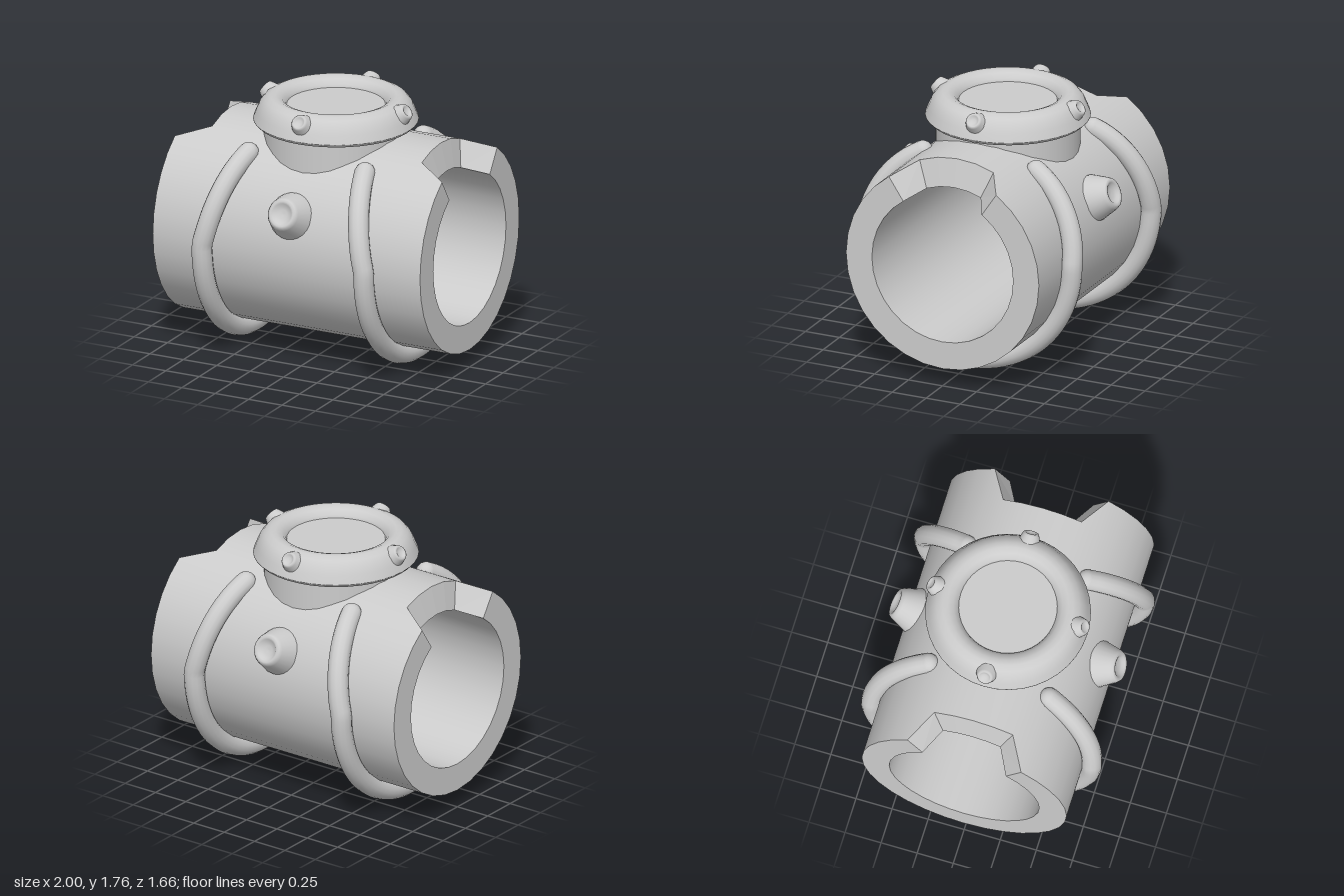
import * as THREE from 'three';

const material = new THREE.MeshStandardMaterial({ color: 0xcccccc });
const AXIS_Y = 0.835, OUTER = 0.71, INNER = 0.52, SIDES = 32;
const v2 = (pairs) => pairs.map(([r, y]) => new THREE.Vector2(r, y));

function add(parent, name, geometry) {
  const mesh = new THREE.Mesh(geometry, material);
  mesh.name = name;
  parent.add(mesh);
  return mesh;
}

// Closed strip around the x axis between two edge loops
function strip(p, q, flat) {
  const pos = [], index = [];
  for (let i = 0; i < SIDES; i++) {
    pos.push(...p(i), ...q(i));
    const a = 2 * i, b = 2 * ((i + 1) % SIDES);
    index.push(a, b, b + 1, a, b + 1, a + 1);
  }
  let g = new THREE.BufferGeometry();
  g.setAttribute('position', new THREE.Float32BufferAttribute(pos, 3));
  g.setIndex(index);
  if (flat) g = g.toNonIndexed();
  g.computeVertexNormals();
  return g;
}

// Edge loop of the pipe; the top five columns are pulled back into a notch
function edge(side, radius, notchX) {
  return (i) => {
    const t = (i / SIDES) * Math.PI * 2;
    const inNotch = Math.min(i, SIDES - i) <= 2;
    return [side * (inNotch ? notchX : 1), AXIS_Y + radius * Math.cos(t), radius * Math.sin(t)];
  };
}

// Truncated stud with rounded rim and dimple, growing along +y
const studGeometry = new THREE.LatheGeometry(v2([
  [0.155, -0.03], [0.16, 0], [0.155, 0.025], [0.112, 0.14], [0.1, 0.16], [0.085, 0.166],
  [0.07, 0.16], [0.055, 0.145], [0.03, 0.138], [0, 0.136],
]), 24);

// Stud tilted up by elevation and turned to face a heading around y
function addStud(parent, name, heading, elevation, radius, y, scale) {
  const dir = new THREE.Vector3(
    Math.sin(heading) * Math.cos(elevation), Math.sin(elevation), Math.cos(heading) * Math.cos(elevation));
  const stud = add(parent, name, studGeometry);
  stud.position.set(Math.sin(heading) * radius, y, Math.cos(heading) * radius);
  stud.quaternion.setFromUnitVectors(new THREE.Vector3(0, 1, 0), dir);
  stud.scale.setScalar(scale);
}

// Strap wrapping under the pipe, leaning inwards towards its upper ends
function strapCurve(side) {
  const points = [], n = 48, end = THREE.MathUtils.degToRad(54);
  for (let i = 0; i <= n; i++) {
    const a = end - (i / n) * (Math.PI + 2 * end);
    const rise = Math.max(0, Math.asin(Math.sin(a))) / end;
    const r = 0.762 - 0.052 * rise ** 2.5;
    points.push(new THREE.Vector3(side * (0.605 - 0.17 * rise), AXIS_Y + r * Math.sin(a), r * Math.cos(a)));
  }
  return new THREE.CatmullRomCurve3(points);
}

export function createModel() {
  const model = new THREE.Group();
  model.name = 'pipeJunction';

  // Notched main pipe
  const pipe = new THREE.Group();
  pipe.name = 'mainPipe';
  model.add(pipe);
  const leftOut = edge(1, OUTER, 0.785), leftIn = edge(1, INNER, 0.83);
  const rightOut = edge(-1, OUTER, 0.785), rightIn = edge(-1, INNER, 0.83);
  add(pipe, 'outerWall', strip(rightOut, leftOut));
  add(pipe, 'leftEnd', strip(leftOut, leftIn, true));
  add(pipe, 'innerWall', strip(leftIn, rightIn));
  add(pipe, 'rightEnd', strip(rightIn, rightOut, true));

  // Vertical neck with its closed top inside the collar
  const neck = add(model, 'neck', new THREE.CylinderGeometry(0.48, 0.48, 0.235, 32, 1, true));
  neck.position.y = 1.4725;
  const floor = add(model, 'neckCap', new THREE.CircleGeometry(0.36, 32));
  floor.rotation.x = -Math.PI / 2;
  floor.position.y = 1.69;

  // Rounded collar
  add(model, 'collar', new THREE.LatheGeometry(v2([
    [0.45, 1.57], [0.528, 1.57], [0.532, 1.571], [0.55, 1.59], [0.55, 1.595], [0.528, 1.65],
    [0.508, 1.695], [0.475, 1.735], [0.435, 1.753], [0.4, 1.755], [0.362, 1.74], [0.335, 1.71],
    [0.321, 1.675], [0.325, 1.63],
  ]), 40));

  // Small studs round the collar
  for (let i = 0; i < 4; i++) {
    addStud(model, 'collarStud', i * Math.PI / 2, THREE.MathUtils.degToRad(36), 0.468, 1.678, 0.5);
  }

  // Large studs on the front and back of the pipe
  const tilt = Math.PI / 8;
  for (const heading of [0, Math.PI]) {
    addStud(model, 'sideStud', heading, tilt, 0.68 * Math.cos(tilt), AXIS_Y + 0.68 * Math.sin(tilt), 1);
  }

  // Straps with rounded ends
  for (const side of [1, -1]) {
    const strap = new THREE.Group();
    strap.name = side > 0 ? 'leftStrap' : 'rightStrap';
    model.add(strap);
    const curve = strapCurve(side);
    add(strap, 'strapTube', new THREE.TubeGeometry(curve, 72, 0.07, 14));
    for (const t of [0, 1]) {
      add(strap, 'strapTip', new THREE.SphereGeometry(0.069, 14, 10)).position.copy(curve.getPoint(t));
    }
  }
  return model;
}
